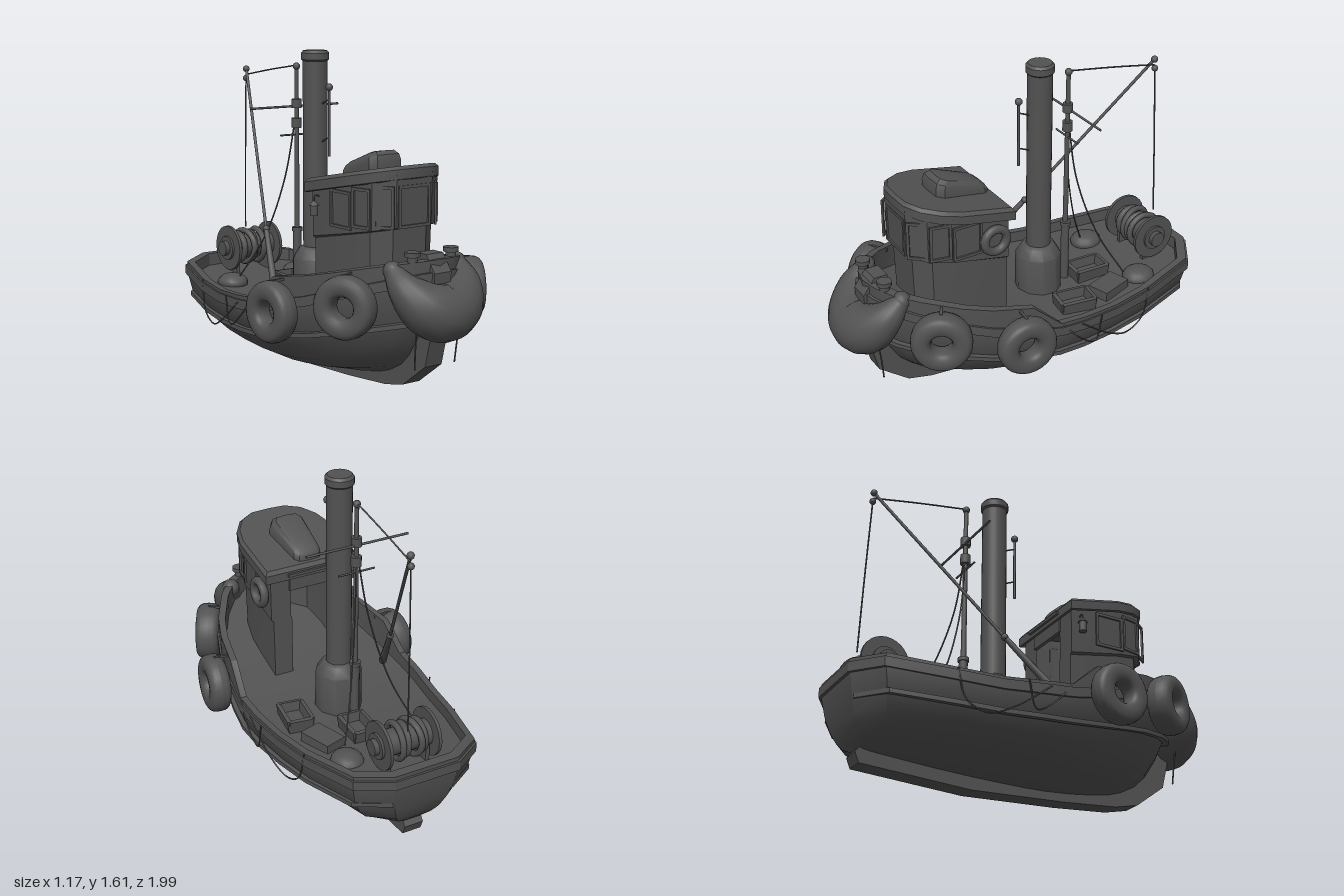
import * as THREE from 'three';
import { toCreasedNormals } from 'three/addons/utils/BufferGeometryUtils.js';

const material = new THREE.MeshStandardMaterial({ color: 0x525252, side: THREE.DoubleSide });
const V = (p) => new THREE.Vector3(...p);
const V2 = (p) => new THREE.Vector2(...p);

// Piecewise linear lookup in [z, y] pairs
const lerpTable = (table) => (z) => {
  let i = 1;
  while (i < table.length - 1 && z > table[i][0]) i++;
  const [[z0, y0], [z1, y1]] = [table[i - 1], table[i]];
  return y0 + (y1 - y0) * THREE.MathUtils.clamp((z - z0) / (z1 - z0), 0, 1);
};
const sheer = lerpTable([[-1, 0.47], [-0.6, 0.425], [-0.3, 0.41], [0, 0.44], [0.15, 0.57], [0.4, 0.61], [0.6, 0.66], [0.84, 0.71]]);
const strake = lerpTable([[-1, 0.46], [-0.6, 0.42], [-0.3, 0.405], [0, 0.43], [0.3, 0.5], [0.84, 0.67]]);
const deckY = (z) => strake(z) - 0.055;

// Skin between rows; each row maps a plan point (x, z) to a 3D point
function loft(ring, rows, closed = true) {
  const pos = [], index = [], n = ring.length;
  rows.forEach((row) => ring.forEach(([x, z]) => pos.push(...row(x, z))));
  for (let i = 0; i < rows.length - 1; i++) {
    for (let j = 0; j < (closed ? n : n - 1); j++) {
      const k = (j + 1) % n, a = i * n + j, b = i * n + k;
      index.push(a, b, b + n, a, b + n, a + n);
    }
  }
  const g = new THREE.BufferGeometry();
  g.setAttribute('position', new THREE.Float32BufferAttribute(pos, 3));
  g.setIndex(index);
  return toCreasedNormals(g, 0.55);
}
const mirrorX = (half) => half.filter(([x]) => x > 0).map(([x, z]) => [-x, z]).reverse();

// Side profile of [z, y] points extruded across x
function sideExtrude(points, width) {
  const g = new THREE.ExtrudeGeometry(new THREE.Shape(points.map(V2)), { depth: width, bevelEnabled: false });
  return g.translate(0, 0, -width / 2).rotateY(-Math.PI / 2);
}

// Tyre with a squarish section, axis along z
function tyreGeometry(halfWidth) {
  const section = [], soft = (t) => Math.sign(t) * Math.abs(t) ** 0.75;
  for (let i = 0; i <= 16; i++) {
    const a = (i / 16) * Math.PI * 2;
    section.push(new THREE.Vector2(0.1 + 0.05 * soft(Math.cos(a)), halfWidth * soft(Math.sin(a))));
  }
  return new THREE.LatheGeometry(section, 28).rotateX(Math.PI / 2);
}

export function createModel() {
  const root = new THREE.Group();
  const add = (name, geometry, p = [0, 0, 0], r = [0, 0, 0], parent = root) => {
    const m = new THREE.Mesh(geometry, material);
    m.name = name;
    m.position.set(...p);
    m.rotation.set(...r);
    parent.add(m);
    return m;
  };
  const box = (name, size, p, r, parent) => add(name, new THREE.BoxGeometry(...size), p, r, parent);
  const cyl = (name, r0, r1, h, p, r, seg = 16, parent) => add(name, new THREE.CylinderGeometry(r1, r0, h, seg), p, r, parent);
  const ball = (name, radius, p) => add(name, new THREE.SphereGeometry(radius, 14, 10), p);
  const rod = (name, a, b, r0, r1 = r0) => {
    const d = V(b).sub(V(a));
    const m = cyl(name, r0, r1, d.length(), V(a).addScaledVector(d, 0.5).toArray(), undefined, 10);
    m.quaternion.setFromUnitVectors(V([0, 1, 0]), d.normalize());
  };
  const rope = (name, pts, r = 0.004) => add(name, new THREE.TubeGeometry(new THREE.CatmullRomCurve3(pts.map(V)), 28, r, 6));

  // Hull, bulwark and deck as one skin
  const half = [[0, 0.83], [0.09, 0.81], [0.18, 0.76], [0.27, 0.66], [0.37, 0.49], [0.42, 0.35], [0.46, 0.15], [0.48, 0],
    [0.475, -0.15], [0.45, -0.35], [0.415, -0.57], [0.33, -0.88], [0.17, -0.985], [0, -0.985]];
  const plan = [...half, ...mirrorX(half)];
  const level = (sx, zf, zb, y) => (x, z) => [x * sx, y(z), z * (z > 0 ? zf : zb)];
  const keelLine = (z) => 0.06 + (z > 0 ? 0.1 : 0.04) * z * z;
  const rise = (f) => (z) => keelLine(z) + f * (strake(z) - keelLine(z));
  add('hull', loft(plan, [
    level(0, 0.68, 0.88, rise(0)), level(0.2, 0.68, 0.88, rise(0)), level(0.52, 0.76, 0.91, rise(0.09)),
    level(0.69, 0.83, 0.935, rise(0.2)), level(0.83, 0.9, 0.96, rise(0.37)), level(0.94, 0.96, 0.98, rise(0.58)),
    level(0.99, 0.99, 0.995, rise(0.8)), level(1, 1, 1, rise(0.95)), level(1, 1, 1, sheer),
    level(0.93, 0.94, 0.95, sheer), level(0.93, 0.94, 0.95, deckY), level(0, 0.94, 0.95, deckY),
  ]));
  const rail = (name, s, w, y, h) => add(name, loft(plan, [
    level(s - 0.02, s - 0.02, s - 0.02, (z) => y(z) - h), level(s + w, s + w, s + w * 0.6, (z) => y(z) - h),
    level(s + w, s + w, s + w * 0.6, (z) => y(z) + h), level(s - 0.02, s - 0.02, s - 0.02, (z) => y(z) + h)]));
  rail('gunwaleStrake', 1, 0.018, (z) => strake(z) - 0.035, 0.024);
  rail('rubbingStrake', 0.955, 0.03, rise(0.54), 0.011);
  add('keelAndStem', sideExtrude([[0.84, 0.4], [0.79, 0.2], [0.63, 0.08], [0.5, 0.05], [0.2, 0.025], [-0.3, 0], [-0.87, 0.03],
    [-0.89, 0.08], [-0.86, 0.12], [0.45, 0.15], [0.66, 0.4], [0.72, 0.73], [0.79, 0.73], [0.85, 0.65]], 0.1));

  // Wheelhouse walls, open at the rear doorway
  const cabinHalf = [[0.1, 0.615], [0.185, 0.55], [0.21, 0.43], [0.215, 0.15], [0.11, 0.15]];
  const cabinRing = [...mirrorX(cabinHalf), ...cabinHalf];
  const wall = (s, y) => (x, z) => [x * s, y(z), 0.15 + (z - 0.15) * s];
  const belt = (z) => 0.73 + 0.2 * (z - 0.15), eave = (z) => 0.99 + 0.2 * (z - 0.15);
  add('wheelhouse', loft(cabinRing, [wall(0.97, (z) => deckY(z) - 0.02), wall(0.99, belt), wall(1.05, (z) => belt(z) + 0.01), wall(1.06, eave)], false));
  box('doorLintel', [0.25, 0.1, 0.02], [0, 0.94, 0.15]);
  box('doorRail', [0.28, 0.015, 0.015], [0, 0.985, 0.125]);
  const roofHalf = [[0, 0.65], [0.1, 0.645], [0.18, 0.6], [0.235, 0.52], [0.262, 0.42], [0.262, 0.13], [0, 0.13]];
  const roofRow = (s, dy) => (x, z) => {
    const zs = 0.38 + (z - 0.38) * s;
    return [x * s, 0.97 + dy + 0.2 * (zs - 0.14), zs];
  };
  add('wheelhouseRoof', loft([...roofHalf, ...mirrorX(roofHalf)],
    [roofRow(0, 0.02), roofRow(0.93, 0.02), roofRow(0.96, -0.015), roofRow(1, -0.01), roofRow(1, 0.035), roofRow(0.94, 0.052), roofRow(0, 0.055)]));
  // Rounded locker, wider towards the front
  const lockerHalf = [[0, 0.46], [0.07, 0.455], [0.095, 0.42], [0.075, 0.19], [0.055, 0.165], [0, 0.16]];
  const lockerRow = (s, lift) => (x, z) => {
    const zs = 0.32 + (z - 0.32) * s;
    return [x * s, 1.015 + 0.2 * (zs - 0.14) + lift * (0.55 + 1.5 * (zs - 0.16)), zs];
  };
  add('roofLocker', loft([...lockerHalf, ...mirrorX(lockerHalf)],
    [lockerRow(1, 0), lockerRow(1, 0.045), lockerRow(0.93, 0.075), lockerRow(0.75, 0.1), lockerRow(0.45, 0.11), lockerRow(0, 0.11)]));

  // Window frames set on the wall facets
  const frame = (x, z, angle, w, h, y) => {
    const s = new THREE.Shape([[-w, -h], [w, -h], [w, h], [-w, h]].map((p) => new THREE.Vector2(p[0] / 2, p[1] / 2)));
    const a = w / 2 - 0.014, b = h / 2 - 0.014;
    s.holes.push(new THREE.Path([[-a, -b], [-a, b], [a, b], [a, -b]].map(V2)));
    add('windowFrame', new THREE.ExtrudeGeometry(s, { depth: 0.01, bevelEnabled: false }), [x, y, z], [0, angle, 0]);
  };
  frame(0, 0.637, 0, 0.19, 0.2, 0.93);
  for (const s of [1, -1]) {
    frame(s * 0.15, 0.605, s * 0.92, 0.1, 0.2, 0.93);
    frame(s * 0.208, 0.512, s * 1.36, 0.11, 0.19, 0.92);
    frame(s * 0.223, 0.375, s * Math.PI / 2, 0.16, 0.18, 0.9);
  }
  add('lifeRing', new THREE.TorusGeometry(0.06, 0.022, 10, 24), [0.25, 0.87, 0.235], [0, Math.PI / 2, 0]);
  cyl('lantern', 0.02, 0.02, 0.05, [-0.255, 0.875, 0.2]);
  cyl('lanternCap', 0.025, 0.006, 0.02, [-0.255, 0.91, 0.2]);
  rope('lanternHook', [[-0.255, 0.92, 0.2], [-0.25, 0.945, 0.2], [-0.22, 0.94, 0.2]]);

  // Funnel on its boiler casing
  const casing = new THREE.LatheGeometry([[0.12, 0.34], [0.117, 0.56], [0.085, 0.61], [0.06, 0.62]].map(V2), 10);
  add('funnelCasing', toCreasedNormals(casing, 0.7), [0.01, 0, -0.16]);
  const funnel = [[0.063, 0.6], [0.063, 1.56], [0.071, 1.568], [0.071, 1.6], [0.06, 1.613], [0, 1.613]];
  add('funnel', toCreasedNormals(new THREE.LatheGeometry(funnel.map(V2), 24), 0.6), [0.01, 0, -0.16]);
  rod('whistlePipe', [0.01, 1.09, -0.04], [0.01, 1.43, -0.04], 0.007);
  ball('whistle', 0.019, [0.01, 1.435, -0.04]);
  for (const y of [1.17, 1.36]) rod('whistleBracket', [0.01, y + 0.015, -0.04], [0.01, y - 0.015, -0.11], 0.004);

  // Mast, yards and derrick boom
  const mz = -0.325, tip = [0.03, 1.485, -0.83];
  cyl('mastBase', 0.022, 0.022, 0.33, [0.01, 0.515, mz]);
  cyl('mastBaseCollar', 0.028, 0.028, 0.02, [0.01, 0.68, mz]);
  cyl('mast', 0.014, 0.011, 0.85, [0.01, 1.1, mz]);
  ball('mastHead', 0.019, [0.01, 1.525, mz]);
  for (const [y, h] of [[1.335, 0.045], [1.235, 0.05]]) cyl('mastCollar', 0.026, 0.026, h, [0.01, y, mz]);
  rod('yard', [-0.265, 1.32, mz - 0.01], [0.28, 1.32, mz - 0.01], 0.006);
  rod('lowerYard', [-0.09, 1.175, mz], [0.105, 1.175, mz], 0.005);
  const joint = [-0.242, 0.72, -0.235];
  rod('boomFoot', [-0.35, 0.42, 0.01], joint, 0.021, 0.013);
  ball('boomJoint', 0.018, joint);
  rod('boom', joint, tip, 0.008);
  ball('boomTip', 0.018, tip);
  ball('boomBlock', 0.017, [0.03, 1.435, -0.835]);
  rope('toppingLift', [[0.01, 1.53, mz], [0.02, 1.495, -0.58], [0.03, 1.455, -0.83]]);
  rope('hoistLine', [[0.03, 1.435, -0.835], [0.035, 1, -0.855], [0.04, 0.61, -0.87]]);
  for (const s of [1, -1]) {
    rope('mastStay', [[0.01, 1.3, mz], [0.04 * s, 0.93, -0.37], [0.11 * s, 0.62, -0.46], [0.2 * s, 0.4, -0.57]]);
  }

  // Towing winch at the stern
  const winch = new THREE.Group();
  winch.name = 'winch';
  winch.position.set(0.015, 0.52, -0.795);
  root.add(winch);
  const side = [0, 0, Math.PI / 2];
  cyl('drum', 0.065, 0.065, 0.3, [0, 0, 0], side, 20, winch);
  for (const s of [1, -1]) {
    cyl('drumFlange', 0.12, 0.12, 0.016, [s * 0.13, 0, 0], side, 28, winch);
    cyl('drumHub', 0.04, 0.04, 0.05, [s * 0.15, 0, 0], side, 16, winch);
    box('winchStand', [0.02, 0.15, 0.1], [s * 0.105, -0.07, 0], undefined, winch);
  }
  for (let i = 0; i < 4; i++) {
    add('ropeCoil', new THREE.TorusGeometry(0.075 + 0.012 * (i % 2), 0.016, 8, 20), [-0.075 + i * 0.04, 0, 0], [0, Math.PI / 2 + 0.2 * Math.sin(i * 2), 0], winch);
  }

  // Open crates, flat hatch and sacks on the after deck
  const crate = (x, z, turn) => {
    const g = new THREE.Group();
    g.name = 'crate';
    g.position.set(x, deckY(z) + 0.03, z);
    g.rotation.y = turn;
    root.add(g);
    box('crateFloor', [0.12, 0.012, 0.18], [0, -0.02, 0], undefined, g);
    for (const s of [1, -1]) {
      box('crateSide', [0.02, 0.07, 0.18], [s * 0.056, 0, 0], [0, 0, -s * 0.15], g);
      box('crateEnd', [0.12, 0.07, 0.02], [0, 0, s * 0.085], [s * 0.15, 0, 0], g);
    }
  };
  crate(0.055, -0.44, -0.05);
  crate(0.28, -0.21, -0.15);
  box('hatchCover', [0.12, 0.05, 0.18], [0.25, deckY(-0.44) + 0.025, -0.44], [0, 0.3, 0]);
  for (const [x, z] of [[-0.21, -0.61], [0.23, -0.645]]) ball('sack', 0.08, [x, 0.375, z]).scale.set(1, 0.62, 1.08);

  // Tyre fenders with straps, and rope swags along both sides
  for (const s of [1, -1]) {
    for (const [x, y, z, a, w] of [[0.52, 0.42, 0.225, 1.45, 0.054], [0.375, 0.495, 0.61, 1.05, 0.062]]) {
      const g = new THREE.Group();
      g.name = 'tyreFender';
      g.position.set(s * x, y, z);
      g.rotation.y = s * a;
      root.add(g);
      add('tyre', tyreGeometry(w), undefined, undefined, g);
      box('tyreStrap', [0.012, 0.012, 0.11], [0, 0.146, -0.055], undefined, g);
    }
    rope('sideSwag', [[0.48, 0.43, -0.01], [0.49, 0.33, -0.1], [0.485, 0.27, -0.2], [0.485, 0.41, -0.24]].map(([x, y, z]) => [s * x, y, z]));
    rope('sideSwag', [[0.485, 0.4, -0.12], [0.47, 0.27, -0.3], [0.445, 0.22, -0.43], [0.43, 0.27, -0.53], [0.42, 0.42, -0.57]].map(([x, y, z]) => [s * x, y, z]));
    rope('bowRope', [[s * 0.13, 0.45, 0.83], [s * 0.125, 0.3, 0.81], [s * 0.12, 0.2, 0.8]]);
    // Mooring bollards
    cyl('bollard', 0.024, 0.024, 0.14, [s * 0.115, 0.665, 0.77]);
    cyl('bollardCap', 0.036, 0.036, 0.022, [s * 0.115, 0.735, 0.77]);
  }

  // Thick bow fender tapering to its two horns
  const path = new THREE.CatmullRomCurve3([[-0.19, 0.66, 0.72], [-0.17, 0.58, 0.79], [-0.09, 0.495, 0.845], [0, 0.465, 0.86],
    [0.09, 0.495, 0.845], [0.17, 0.58, 0.79], [0.19, 0.66, 0.72]].map(V));
  const fender = new THREE.TubeGeometry(path, 40, 1, 16), fp = fender.attributes.position, v = new THREE.Vector3();
  for (let i = 0; i < fp.count; i++) {
    const u = Math.floor(i / 17) / 40, c = path.getPointAt(u);
    v.fromBufferAttribute(fp, i).sub(c).multiplyScalar(0.045 + 0.092 * Math.sin(Math.PI * u) ** 1.2).add(c);
    fp.setXYZ(i, v.x, v.y, v.z);
  }
  fender.computeVertexNormals();
  add('bowFender', fender);
  for (const s of [1, -1]) ball('bowFenderEnd', 0.046, [s * 0.19, 0.66, 0.72]);
  return root;
}
